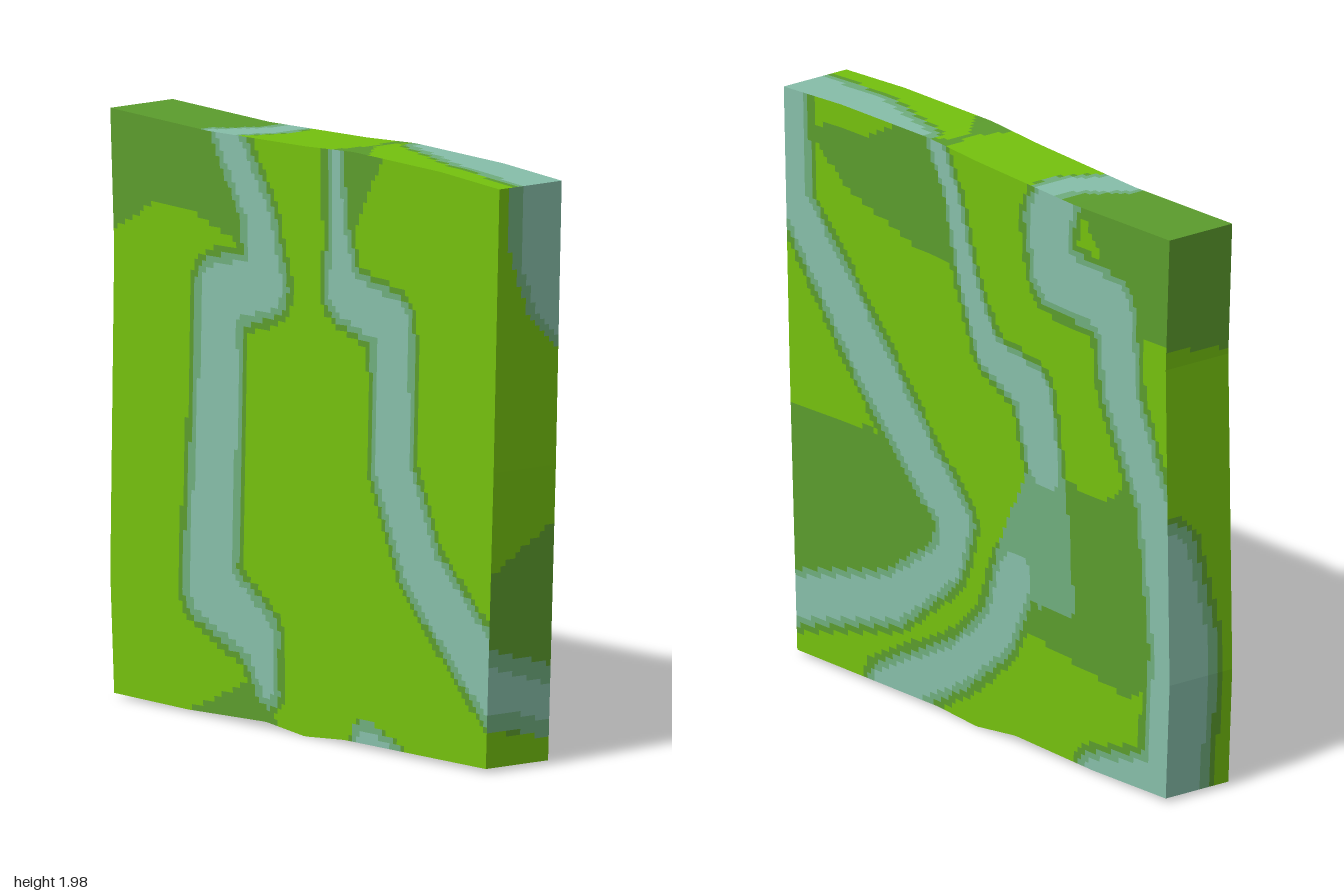
import * as THREE from 'three';

const DEPTH = 0.133;
const CELL = 0.02;

// Piecewise-linear curve through [t, value] pairs
const curve = (...pts) => (t) => {
  let i = 1;
  while (i < pts.length - 1 && t > pts[i][0]) i++;
  const [a, b] = [pts[i - 1], pts[i]];
  return THREE.MathUtils.mapLinear(THREE.MathUtils.clamp(t, a[0], b[0]), a[0], b[0], a[1], b[1]);
};

// Slightly wavy outline of the slab
const leftEdge = curve([0, -0.98], [0.4, -1], [1.5, -0.98], [1.96, -1]);
const rightEdge = curve([0, 0.93], [1, 0.97], [1.96, 1]);
const topEdge = curve([-1, 1.963], [-0.5, 1.953], [0, 1.968], [0.25, 1.982], [0.7, 1.975], [1, 1.957]);
const bottomEdge = curve([-1, 0.015], [-0.6, 0.01], [-0.2, 0.022], [0, 0], [0.2, 0.015]);

// Point of the slab for u (left-right), v (bottom-top), w (back-front), each 0..1
function slabPoint(u, v, w) {
  const y0 = v * 1.96;
  const x = THREE.MathUtils.lerp(leftEdge(y0), rightEdge(y0), u);
  const y = THREE.MathUtils.lerp(bottomEdge(x), topEdge(x), v);
  return new THREE.Vector3(x, y, (w * 2 - 1) * DEPTH);
}

// Paint levels: 0 grass, 1 dark grass, 2 bank, 3 water.
// A patch fills a polygon with one level
const patch = (level, ...poly) => (x, y) => {
  let inside = false;
  poly.forEach(([bx, by], i) => {
    const [ax, ay] = poly.at(i - 1);
    if ((ay > y) !== (by > y) && x < ax + ((y - ay) / (by - ay)) * (bx - ax)) inside = !inside;
  });
  return inside ? level : 0;
};

// A river follows [x, y, half width] points, with a bank and a darker fringe beside it
const river = (bank, fringe, ...path) => (x, y) => {
  let d = Infinity;
  for (let i = 1; i < path.length; i++) {
    const [ax, ay, ar] = path[i - 1];
    const [bx, by, br] = path[i];
    const dx = bx - ax, dy = by - ay;
    const t = THREE.MathUtils.clamp(((x - ax) * dx + (y - ay) * dy) / (dx * dx + dy * dy), 0, 1);
    d = Math.min(d, Math.hypot(x - ax - t * dx, y - ay - t * dy) - THREE.MathUtils.lerp(ar, br, t));
  }
  return d < 0 ? 3 : d < bank ? 2 : d < fringe ? 1 : 0;
};

const frontPaint = [
  patch(1, [-1.1, 2], [-0.35, 2], [-0.33, 1.6], [-0.6, 1.68], [-0.75, 1.69], [-1.1, 1.5]),
  river(0.03, 0.055, [-0.43, 2, 0.05], [-0.24, 1.7, 0.06], [-0.2, 1.48, 0.085], [-0.44, 1.42, 0.095],
    [-0.45, 1, 0.1], [-0.49, 0.44, 0.11], [-0.24, 0.3, 0.08], [-0.19, 0.13, 0.03]),
  patch(1, [0.08, 2], [0.41, 2], [0.22, 1.66], [0.08, 1.74]),
  river(0.025, 0.045, [0.16, 2, 0.01], [0.17, 1.72, 0.03], [0.2, 1.5, 0.075], [0.45, 1.43, 0.085],
    [0.45, 0.95, 0.085], [0.6, 0.63, 0.09], [1, 0.26, 0.1]),
  patch(1, [-0.62, 0], [-0.2, 0.18], [-0.14, 0]),
  river(0.03, 0.035, [0.31, 0.02, 0.045], [0.46, -0.02, 0.03]),
];

const backPaint = [
  patch(1, [0.9, 1.87], [0.57, 1.9], [0.38, 2], [0.2, 2], [0.08, 1.58], [0.26, 1.57], [0.68, 1.69]),
  patch(1, [1.1, 0.85], [0.53, 0.89], [0.2, 0.6], [0.5, 0.33], [1.1, 0.25]),
  // V-shaped river
  river(0.025, 0.05, [0.97, 2, 0.07], [0.95, 1.58, 0.07], [0.57, 1.15, 0.09], [0.27, 0.83, 0.08],
    [0.11, 0.69, 0.075], [0.15, 0.53, 0.06], [0.43, 0.33, 0.07], [1, 0.18, 0.07]),
  // narrow middle river, the pool below it and its outflow
  river(0.015, 0.035, [0.23, 2, 0.03], [0.13, 1.82, 0.03], [0.05, 1.55, 0.04], [-0.06, 1.32, 0.055],
    [-0.29, 1.24, 0.09], [-0.35, 1, 0.08]),
  patch(2, [-0.25, 0.94], [-0.46, 0.98], [-0.51, 0.52], [-0.32, 0.5], [-0.1, 0.64]),
  river(0.025, 0.055, [-0.2, 0.58, 0.08], [-0.11, 0.36, 0.065], [0.08, 0.2, 0.06], [0.47, 0, 0.07]),
  patch(1, [-0.45, 0.98], [-0.67, 0.96], [-0.8, 1.08], [-0.94, 0.39], [-0.78, 0.31], [-0.15, 0.42]),
  // outer river
  patch(1, [-0.5, 2], [-1.1, 2], [-1.1, 1.56], [-0.8, 1.6]),
  river(0.025, 0.05, [-0.44, 2, 0.08], [-0.37, 1.84, 0.1], [-0.4, 1.68, 0.1], [-0.71, 1.65, 0.09],
    [-0.75, 1.35, 0.08], [-0.92, 1, 0.07], [-0.97, 0.5, 0.05], [-0.94, 0.07, 0.06], [-0.6, 0, 0.05]),
];

// Side faces are painted in z and y
const leftPaint = [
  patch(1, [-0.2, 0.86], [0.2, 0.62], [0.2, 0.14], [-0.2, 0.1]),
  river(0.06, 0.06, [-0.2, 0.19, 0.06], [0, 0.25, 0.06], [0.2, 0.28, 0.09]),
  patch(2, [0.09, 2], [0.09, 1.75], [0, 1.53], [-0.2, 1.33], [-0.2, 2]),
  patch(3, [0.04, 2], [0.04, 1.72], [-0.03, 1.53], [-0.2, 1.36], [-0.2, 2]),
];
const rightPaint = [
  patch(1, [-0.2, 2], [0.2, 2], [0.2, 1.52], [-0.2, 1.58]),
  river(0.035, 0.06, [-0.13, 0.85, 0.08], [-0.08, 0.5, 0.12], [-0.1, 0, 0.11]),
];

// Top and bottom faces are painted in x and z
const topPaint = [
  patch(1, [-1.1, -0.2], [-0.43, -0.2], [-0.43, 0.2], [-1.1, 0.2]),
  river(0.025, 0.03, [-0.36, -0.2, 0.05], [-0.35, -0.03, 0.06], [-0.45, 0.13, 0.07]),
  patch(1, [0.14, -0.2], [0.22, -0.2], [0.2, 0], [0.4, 0.2], [0.11, 0.2], [0.18, 0]),
  river(0.03, 0.045, [0.32, -0.14, 0.05], [0.65, -0.08, 0.08], [1, -0.06, 0.09]),
];
const bottomPaint = [
  river(0.03, 0.05, [0.45, -0.2, 0.1], [0.35, 0.2, 0.1]),
  river(0.03, 0.06, [-1, -0.11, 0.08], [-0.6, -0.1, 0.03], [0.4, -0.14, 0.04]),
  patch(1, [-0.62, 0.2], [-0.15, 0.2], [-0.2, 0.05], [-0.5, 0.05]),
];

// One slab face: a fine grid of cells, each coloured by the highest paint level
function paintedFace(name, place, axes, flip, sizeA, sizeB, layers, materials) {
  const na = Math.round(sizeA / CELL), nb = Math.round(sizeB / CELL);
  const buckets = materials.map(() => []);
  for (let i = 0; i < na; i++) {
    for (let j = 0; j < nb; j++) {
      const [a, b, c, d] = [[0, 0], [1, 0], [1, 1], [0, 1]].map(([p, q]) => place((i + p) / na, (j + q) / nb));
      const centre = a.clone().lerp(c, 0.5);
      const level = Math.max(0, ...layers.map((paint) => paint(centre[axes[0]], centre[axes[1]])));
      const corners = flip ? [a, c, b, a, d, c] : [a, b, c, a, c, d];
      for (const p of corners) buckets[level].push(p.x, p.y, p.z);
    }
  }
  const geometry = new THREE.BufferGeometry();
  geometry.setAttribute('position', new THREE.Float32BufferAttribute(buckets.flat(), 3));
  let start = 0;
  buckets.forEach((bucket, level) => {
    if (bucket.length) geometry.addGroup(start, bucket.length / 3, level);
    start += bucket.length / 3;
  });
  geometry.computeVertexNormals();
  const mesh = new THREE.Mesh(geometry, materials);
  mesh.name = name;
  return mesh;
}

export function createModel() {
  const colours = { grass: 0x75c20e, darkGrass: 0x5c9d2d, bank: 0x70ae7e, water: 0x87bfaa };
  const materials = Object.entries(colours).map(([name, color]) => {
    const material = new THREE.MeshStandardMaterial({ color });
    material.name = name;
    return material;
  });
  const thick = DEPTH * 2;
  const group = new THREE.Group();
  group.name = 'paintedSlab';
  group.add(
    paintedFace('frontFace', (a, b) => slabPoint(a, b, 1), 'xy', false, 2, 1.96, frontPaint, materials),
    paintedFace('backFace', (a, b) => slabPoint(a, b, 0), 'xy', true, 2, 1.96, backPaint, materials),
    paintedFace('leftSide', (a, b) => slabPoint(1, b, a), 'zy', true, thick, 1.96, leftPaint, materials),
    paintedFace('rightSide', (a, b) => slabPoint(0, b, a), 'zy', false, thick, 1.96, rightPaint, materials),
    paintedFace('topFace', (a, b) => slabPoint(a, 1, b), 'xz', true, 2, thick, topPaint, materials),
    paintedFace('bottomFace', (a, b) => slabPoint(a, 0, b), 'xz', false, 2, thick, bottomPaint, materials),
  );
  return group;
}
